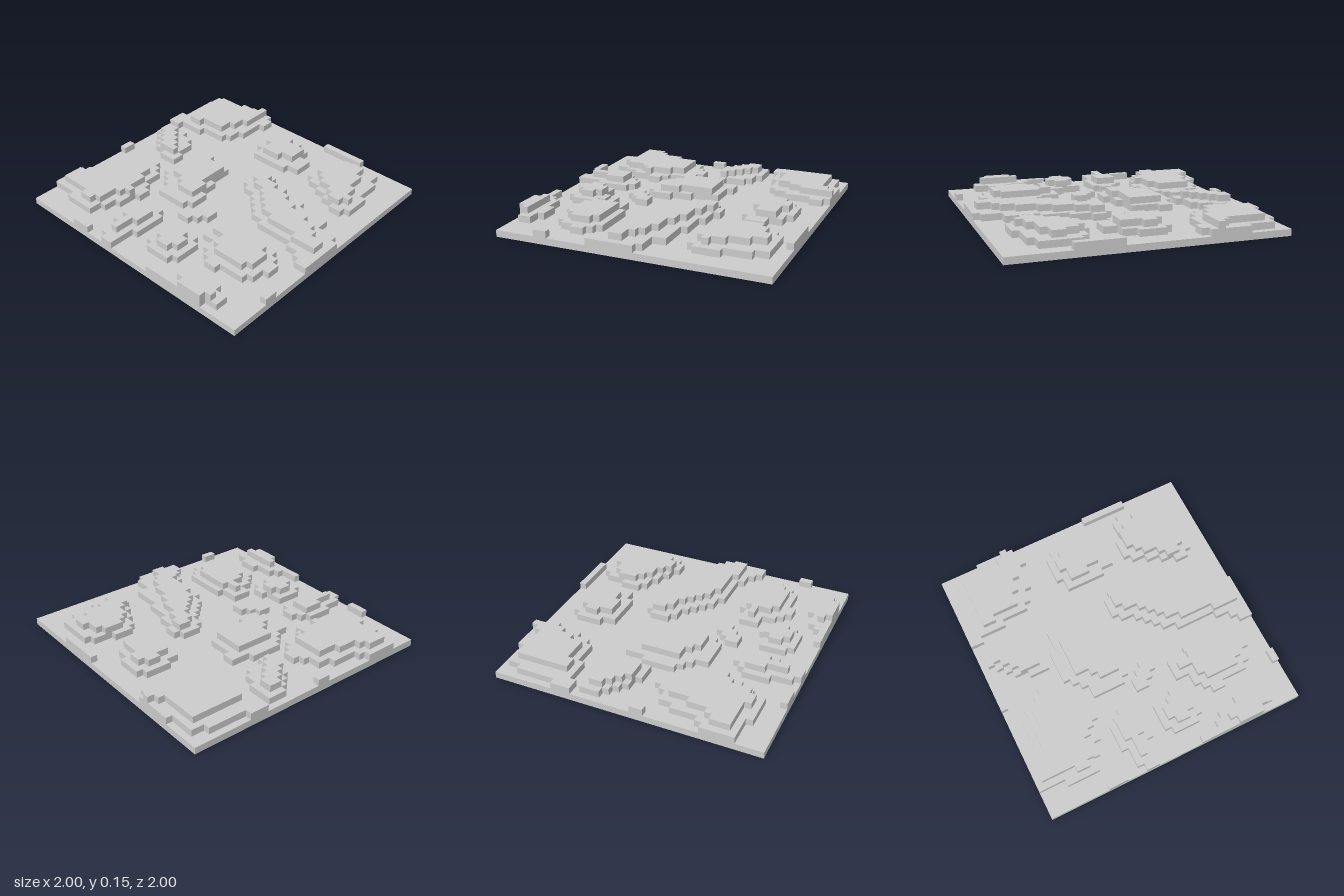
import * as THREE from 'three';

const CELL = 0.05; // plan grid step and terrace height
const material = new THREE.MeshStandardMaterial({ color: 0xcccccc, flatShading: true });

// Stepped outline: each x,z pair is a corner; a run along x leads to the next pair's x,
// then a run along z leads to its z. Grid cells are counted from the back left corner.
function terrace(name, level, steps) {
  const shape = new THREE.Shape();
  const at = (x, z) => [x * CELL - 1, 1 - z * CELL];
  shape.moveTo(...at(steps[0], steps[1]));
  for (let i = 0; i < steps.length; i += 2) {
    const nextX = steps[(i + 2) % steps.length];
    if (i > 0) shape.lineTo(...at(steps[i], steps[i + 1]));
    shape.lineTo(...at(nextX, steps[i + 1]));
  }
  const geometry = new THREE.ExtrudeGeometry(shape, { depth: CELL, bevelEnabled: false });
  geometry.rotateX(-Math.PI / 2);
  const mesh = new THREE.Mesh(geometry, material);
  mesh.name = name;
  mesh.position.y = level * CELL;
  return mesh;
}

const box = (x0, z0, x1, z1) => [x0, z0, x1, z1];

// Each hill: lower terrace outline, then optional upper terrace outline
const hills = {
  backLeftHill: [
    [6, 1, 2, 3, 1, 9, 0, 12, 2, 11, 6, 10, 10, 9, 11, 7, 12, 3, 13, 1, 12, 0],
    [10, 1, 9, 2, 3, 10, 5, 9, 9, 7, 10, 5, 11, 0],
  ],
  backMiddleHill: [
    [17, 3, 21, 4, 23, 6, 25, 9, 23, 10, 17, 8, 16, 4],
    [18, 4, 20, 5, 23, 8, 21, 9, 18, 7, 17, 5],
  ],
  backRightHill: [
    [28, 3, 29, 2, 35, 4, 36, 8, 37, 12, 36, 13, 34, 12, 32, 11, 30, 10, 28, 9, 27, 6],
    [29, 4, 31, 3, 33, 5, 34, 8, 35, 10, 36, 11, 35, 12, 33, 11, 32, 10, 30, 9, 29, 8, 28, 5],
  ],
  leftRidge: [
    [1, 13, 5, 14, 7, 15, 8, 18, 9, 20, 6, 19, 4, 18, 3, 17, 2, 16],
    [2, 14, 4, 15, 5, 16, 6, 17, 7, 18, 8, 19, 5, 18, 4, 17, 3, 16],
  ],
  centreHill: [
    [11, 15, 13, 16, 17, 20, 18, 23, 19, 26, 18, 27, 13, 25, 12, 24, 11, 23, 10, 18],
    [12, 17, 17, 22, 18, 25, 15, 24, 14, 23],
  ],
  diagonalRidge: [
    [22, 13, 24, 14, 27, 15, 31, 16, 36, 18, 39, 19, 40, 26, 38, 25, 37, 24, 35, 23,
      29, 22, 27, 21, 26, 20, 25, 19, 24, 18, 22, 17, 21, 14],
    [22, 14, 24, 15, 26, 16, 29, 17, 31, 18, 34, 19, 36, 20, 37, 21, 39, 23, 35, 22,
      30, 21, 28, 20, 27, 19, 26, 18, 25, 17, 23, 16],
  ],
  frontLeftHill: [
    [6, 22, 8, 23, 9, 24, 10, 27, 11, 28, 12, 30, 11, 33, 10, 35, 9, 37, 4, 36,
      0, 31, 1, 30, 2, 26, 3, 24, 5, 23],
    [4, 25, 9, 27, 10, 30, 11, 31, 10, 32, 9, 35, 8, 36, 6, 35, 1, 32, 2, 31, 3, 28],
  ],
  frontRightHill: [
    [28, 26, 35, 27, 36, 28, 37, 30, 36, 32, 35, 33, 31, 34, 29, 33, 28, 32, 27, 30, 25, 27],
    [28, 27, 34, 28, 35, 31, 34, 32, 29, 31, 28, 29, 26, 28],
  ],
  frontNarrowHill: [
    [15, 30, 17, 31, 18, 36, 17, 40, 15, 39, 14, 36, 13, 32, 14, 31],
    [14, 32, 17, 35, 16, 38, 15, 35],
  ],
  frontMiddleHill: [
    [20, 32, 23, 31, 25, 32, 26, 36, 25, 37, 21, 36],
    [21, 33, 22, 32, 24, 33, 25, 35, 24, 36, 22, 35],
  ],
  frontEdgeHill: [
    [24, 39, 27, 38, 28, 37, 31, 36, 34, 37, 36, 39, 34, 40],
    [30, 39, 29, 38, 35, 39, 34, 40],
  ],
  smallMound: [[21, 25, 23, 27, 22, 28, 21, 29, 19, 27, 20, 26]],
  backEdgeStep: [box(24, 0, 31, 1)],
  leftEdgeStep: [box(0, 21, 1, 23)],
  rightEdgeStep: [box(39, 32, 40, 34)],
  frontEdgeStep: [box(9, 39, 12, 40)],
};

export function createModel() {
  const model = new THREE.Group();
  model.name = 'terracedTerrain';

  // Flat ground slab
  const slab = new THREE.Mesh(new THREE.BoxGeometry(2, CELL, 2), material);
  slab.name = 'groundSlab';
  slab.position.y = CELL / 2;
  model.add(slab);

  // Stepped hills
  for (const [name, outlines] of Object.entries(hills)) {
    const hill = new THREE.Group();
    hill.name = name;
    outlines.forEach((steps, i) => hill.add(terrace(i ? 'upperTerrace' : 'lowerTerrace', i + 1, steps)));
    model.add(hill);
  }
  return model;
}
